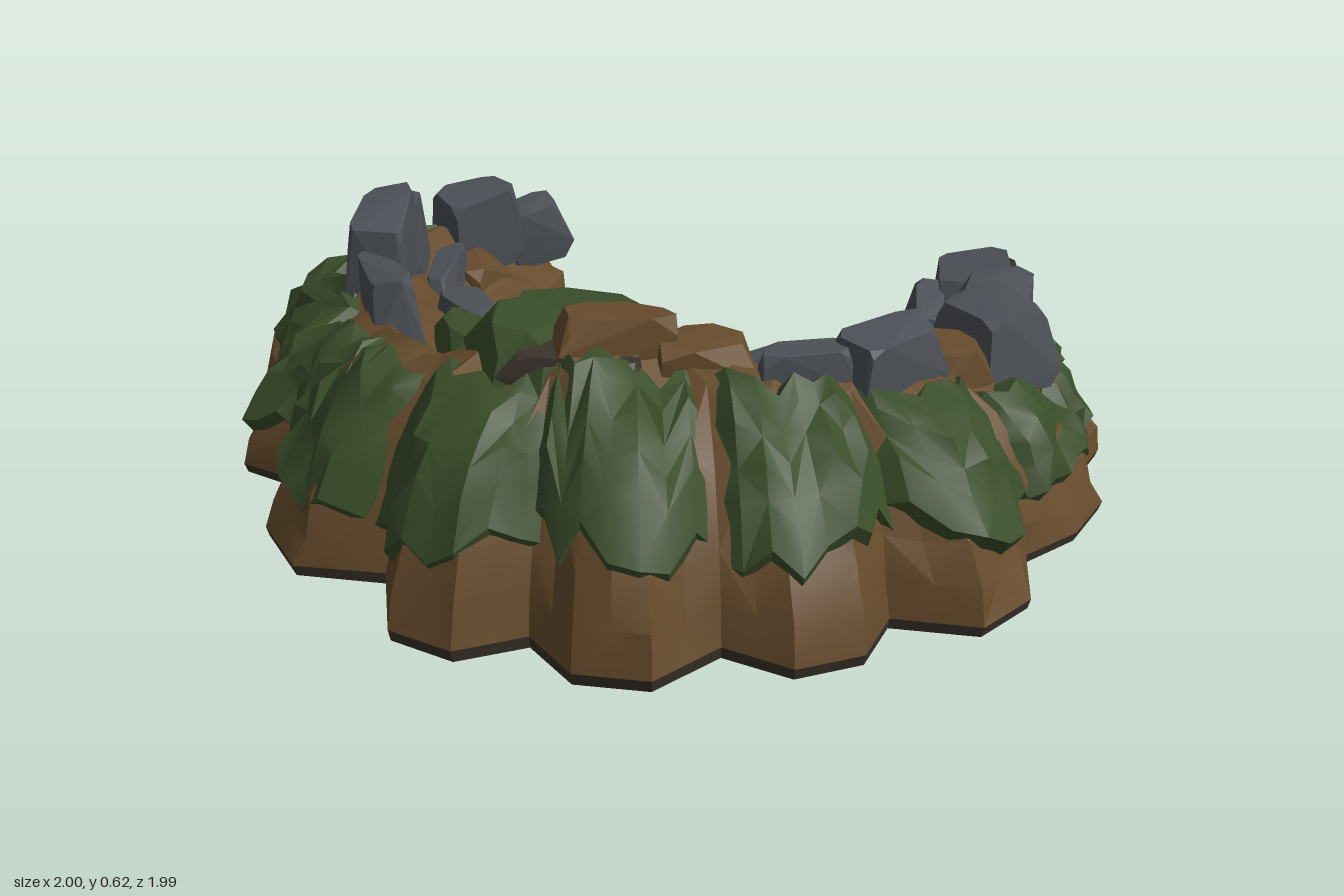
import * as THREE from 'three';
import { toCreasedNormals } from 'three/addons/utils/BufferGeometryUtils.js';
import { ConvexGeometry } from 'three/addons/geometries/ConvexGeometry.js';

const mat = (name, color) => new THREE.MeshStandardMaterial({ name, color });

// Seeded random numbers in -1..1
let seed = 7;
const rnd = () => {
  seed = (seed * 16807) % 2147483647;
  return (seed / 2147483647) * 2 - 1;
};

// Lobed outer foot of the crescent, x and z, from the back right tip round to the back left tip
const OUTER = [
  [-0.45, -1.0], [-0.62, -0.92], [-0.78, -0.8], [-0.77, -0.67], [-0.93, -0.62], [-0.98, -0.42], [-0.94, -0.25],
  [-1.0, 0.03], [-0.87, 0.12], [-0.93, 0.32], [-0.86, 0.49], [-0.66, 0.54], [-0.65, 0.76], [-0.52, 0.85],
  [-0.36, 0.81], [-0.28, 0.95], [-0.12, 0.99], [0.03, 0.88], [0.17, 0.97], [0.32, 0.93], [0.39, 0.8],
  [0.58, 0.85], [0.7, 0.75], [0.72, 0.58], [0.86, 0.49], [0.95, 0.36], [0.92, 0.24], [1.0, 0.12],
  [0.98, -0.02], [0.92, -0.08], [0.99, -0.18], [0.9, -0.38], [0.77, -0.42],
];
const LAST = OUTER.length - 1;

// Ridge (x, height, z) and inner foot, spread evenly over the same stations
const curve = (pts) => new THREE.CatmullRomCurve3(pts.map((p) => new THREE.Vector3(...p)), false, 'catmullrom', 0.5);
const ridge = curve([
  [-0.34, 0.13, -0.97], [-0.5, 0.24, -0.76], [-0.62, 0.3, -0.54], [-0.64, 0.35, -0.23], [-0.64, 0.39, 0.08],
  [-0.56, 0.44, 0.31], [-0.4, 0.5, 0.45], [-0.27, 0.53, 0.48], [-0.1, 0.53, 0.49], [0.14, 0.5, 0.5],
  [0.3, 0.47, 0.49], [0.48, 0.44, 0.41], [0.6, 0.38, 0.29], [0.68, 0.33, 0.13], [0.71, 0.28, -0.06],
  [0.72, 0.24, -0.24], [0.67, 0.13, -0.47],
]);
const inner = curve([
  [-0.25, 0, -0.96], [-0.22, 0, -0.78], [-0.37, 0, -0.53], [-0.35, 0, -0.35], [-0.33, 0, -0.14],
  [-0.21, 0, -0.04], [-0.14, 0, 0.02], [-0.07, 0, 0.03], [0, 0, 0.07], [0.08, 0, 0.02],
  [0.16, 0, 0.03], [0.25, 0, 0], [0.34, 0, -0.03], [0.36, 0, -0.14], [0.46, 0, -0.18],
  [0.48, 0, -0.3], [0.57, 0, -0.47],
]);

// Cross-section: share of the way outer foot - ridge - inner foot, and share of the ridge height
const PROFILE = [
  [0.02, 0], [0, 0.06], [0.06, 0.22], [0.165, 0.42], [0.38, 0.71], [0.72, 0.93], [1, 1],
  [1.18, 0.88], [1.45, 0.66], [1.72, 0.48], [1.92, 0.3], [2, 0.08], [1.97, 0],
];
const ROWS = PROFILE.length - 1;

function sample(table, s) {
  const i = Math.min(Math.floor(s), table.length - 2);
  return [0, 1].map((k) => THREE.MathUtils.lerp(table[i][k], table[i + 1][k], s - i));
}

// Point on the hill at station u and profile row v, raised by lift
function hill(u, v, lift = 0) {
  const [ox, oz] = sample(OUTER, u);
  const O = new THREE.Vector3(ox, 0, oz);
  const R = ridge.getPoint(u / LAST);
  const I = inner.getPoint(u / LAST);
  const [t, h] = sample(PROFILE, v);
  const flatR = R.clone().setY(0);
  const p = t < 1 ? O.clone().lerp(flatR, t) : flatR.clone().lerp(I, t - 1);
  const out = (t < 1 ? O : I).clone().sub(flatR).normalize().multiplyScalar(0.8 * Math.abs(1 - t));
  out.y = 0.8;
  p.y = R.y * h;
  const soft = THREE.MathUtils.clamp(Math.min(v - 1, ROWS - 1 - v), 0, 1);
  const bump = 0.024 * soft * Math.sin(19 * p.x + 5 * p.z) * Math.cos(17 * p.z - 4 * p.x + v);
  return p.addScaledVector(out.normalize(), bump + lift);
}

// Grid geometry from a point rule; crease keeps rocky edges sharp
function grid(nu, nv, point) {
  const pos = [], idx = [];
  for (let i = 0; i <= nu; i++) for (let j = 0; j <= nv; j++) pos.push(...point(i, j).toArray());
  for (let i = 0; i < nu; i++) for (let j = 0; j < nv; j++) {
    const a = i * (nv + 1) + j, b = a + nv + 1;
    if ((i + j) % 2) idx.push(a, b, a + 1, b, b + 1, a + 1);
    else idx.push(a, b, b + 1, a, b + 1, a + 1);
  }
  const g = new THREE.BufferGeometry();
  g.setAttribute('position', new THREE.Float32BufferAttribute(pos, 3));
  g.setIndex(idx);
  return toCreasedNormals(g, 0.45);
}

// Angular boulder: a jittered block, narrower on top, with its corners cut off
function boulder(w, h, d, cut) {
  const pts = [];
  for (const x of [-1, 1]) for (const y of [-1, 1]) for (const z of [-1, 1]) {
    const s = 0.5 * (1 + 0.12 * rnd());
    const taper = y > 0 ? 0.86 + 0.12 * rnd() : 1.06;
    for (let k = 0; k < 3; k++) {
      const c = [x * taper, y, z * taper].map((q, a) => q * s * (a === k ? cut + 0.15 * rnd() : 1));
      pts.push(new THREE.Vector3(c[0] * w, c[1] * h, c[2] * d));
    }
  }
  return new ConvexGeometry(pts);
}

export function createModel() {
  const model = new THREE.Group();
  const earth = mat('earth brown', 0x664b2c);
  const moss = mat('moss green', 0x3a4e2a);
  const stone = mat('stone grey', 0x4c5157);
  const shade = mat('dark soil', 0x3a322a);
  const add = (name, geo, material) => {
    const m = new THREE.Mesh(geo, material);
    m.name = name;
    model.add(m);
    return m;
  };

  // Earth bank with rough faces, and a dark strip along the outer foot
  const N = LAST * 2;
  add('earthBank', grid(N, ROWS - 1, (i, j) => {
    const edge = i === 0 || i === N || j === 0 || j > ROWS - 3;
    return hill(i / 2, j + 1, edge ? 0 : 0.014 * rnd());
  }), earth);
  add('outerFoot', grid(N, 1, (i, j) => hill(i / 2, j)), shade);

  // End walls at both tips
  const tips = [0, LAST].map((u) => hill(u, 6).setY(0));
  tips.forEach((centre, end) => {
    add('tipWall', grid(1, ROWS, (i, j) => (i === end ? centre : hill(end * LAST, j))), earth);
  });

  // Flat underside
  const outline = [tips[0]];
  for (let i = 0; i <= N; i++) outline.push(hill(i / 2, 0));
  outline.push(tips[1]);
  for (let i = N; i >= 0; i--) outline.push(hill(i / 2, ROWS));
  const base = new THREE.ShapeGeometry(new THREE.Shape(outline.map((p) => new THREE.Vector2(p.x, p.z))));
  add('underside', base.rotateX(Math.PI / 2), shade);

  // Moss sheets over the outer slope: first and last station, lower row at both ends, upper row
  const sheets = [
    [0.35, 3.0, 2.9, 2.6, 5.9], [3.4, 6.1, 2.4, 2.3, 5.2], [5.9, 8.1, 2.3, 2.5, 5.2], [8.0, 10.9, 2.5, 2.7, 5.8],
    [10.7, 14.3, 2.3, 3.1, 5.7], [13.8, 17.1, 3.2, 2.9, 5.8], [16.9, 20.3, 2.9, 3.2, 5.5],
    [19.9, 23.4, 3.2, 2.3, 5.5], [23.1, 25.9, 2.5, 2.8, 4.8], [26.1, 28.9, 2.4, 2.2, 4.6], [29.3, 30.9, 2.6, 2.6, 4.4],
  ];
  for (const [u0, u1, va, vb, v1] of sheets) {
    const nu = 8, nv = 7;
    let low = 0, high = 0;
    add('mossSheet', grid(nu, nv, (i, j) => {
      if (j === 0) {
        low = THREE.MathUtils.lerp(va, vb, i / nu) + 0.35 * rnd();
        high = v1 + 0.35 * rnd();
      }
      const edge = i === 0 || i === nu || j === 0 || j === nv;
      const v = j < 2 ? low + j * 0.1 : low + ((high - low) * j) / nv;
      const lift = edge ? -0.025 : 0.026 + 0.014 * rnd();
      return hill(u0 + ((u1 - u0) * i) / nu, v, lift);
    }), moss);
  }

  // Loose pieces: x, y, z, width, height, depth, turn
  const scatter = (name, list, material, cut) => {
    for (const [x, y, z, w, h, d, turn = 0] of list) {
      const m = add(name, boulder(w, h, d, cut), material);
      m.position.set(x, y, z);
      m.rotation.set(0.15 * rnd(), turn, 0.15 * rnd());
    }
  };
  scatter('ridgeRock', [
    [-0.44, 0.25, -0.77, 0.19, 0.22, 0.14, 0.5], [-0.3, 0.2, -0.85, 0.16, 0.16, 0.1, 0.5],
    [-0.64, 0.33, -0.53, 0.12, 0.19, 0.17, -0.1], [-0.67, 0.38, -0.35, 0.14, 0.25, 0.24, -0.15],
    [-0.65, 0.36, -0.1, 0.11, 0.18, 0.25, 0.15], [-0.53, 0.21, -0.5, 0.07, 0.12, 0.25, -0.2],
    [-0.46, 0.25, -0.19, 0.1, 0.14, 0.18, 0.4], [0.24, 0.47, 0.52, 0.22, 0.12, 0.09, 0.1],
    [0.43, 0.46, 0.47, 0.24, 0.15, 0.12, 0.6], [0.71, 0.36, 0.2, 0.2, 0.18, 0.22, 0.5],
    [0.76, 0.32, -0.02, 0.17, 0.16, 0.17, -0.2], [0.77, 0.26, -0.27, 0.18, 0.13, 0.18, -0.1],
    [0.63, 0.22, -0.17, 0.08, 0.14, 0.2, -0.15],
  ], stone, 0.65);
  scatter('smallRock', [
    [0.1, 0.28, 0.23, 0.1, 0.13, 0.1], [-0.02, 0.37, 0.38, 0.09, 0.1, 0.06, 0.2], [0.15, 0.38, 0.37, 0.1, 0.1, 0.05, 0.2],
  ], stone, 0.75);
  scatter('mossMound', [
    [-0.22, 0.46, 0.36, 0.34, 0.18, 0.2, -0.5], [-0.35, 0.5, 0.4, 0.18, 0.15, 0.2, 0.3],
    [-0.1, 0.3, 0.24, 0.28, 0.12, 0.1, -0.25], [0.36, 0.31, 0.25, 0.14, 0.12, 0.16, -0.9],
    [0.43, 0.29, 0.15, 0.13, 0.13, 0.18, -0.2], [-0.48, 0.27, -0.03, 0.11, 0.13, 0.27, 0.15],
  ], moss, 0.45);
  scatter('crestBoulder', [
    [-0.16, 0.55, 0.48, 0.24, 0.11, 0.11, 0.15], [0.03, 0.49, 0.48, 0.2, 0.1, 0.14, 0.1],
    [0, 0.42, 0.43, 0.18, 0.12, 0.14, 0.5], [0.58, 0.37, 0.32, 0.14, 0.12, 0.16, 0.6],
  ], earth, 0.4);
  scatter('soilPatch', [[-0.24, 0.5, 0.52, 0.28, 0.07, 0.08, -0.2], [0.83, 0.26, -0.25, 0.09, 0.1, 0.15, 0]], shade, 0.6);

  // Earth lumps along the inner slope
  for (let u = 3; u < LAST - 2; u += 1.5) {
    const p = hill(u, 8.4 + 1.1 * rnd());
    scatter('innerLump', [[p.x, p.y - 0.04, p.z, 0.14, 0.11, 0.14, 3 * rnd()]], earth, 0.45);
  }
  return model;
}
